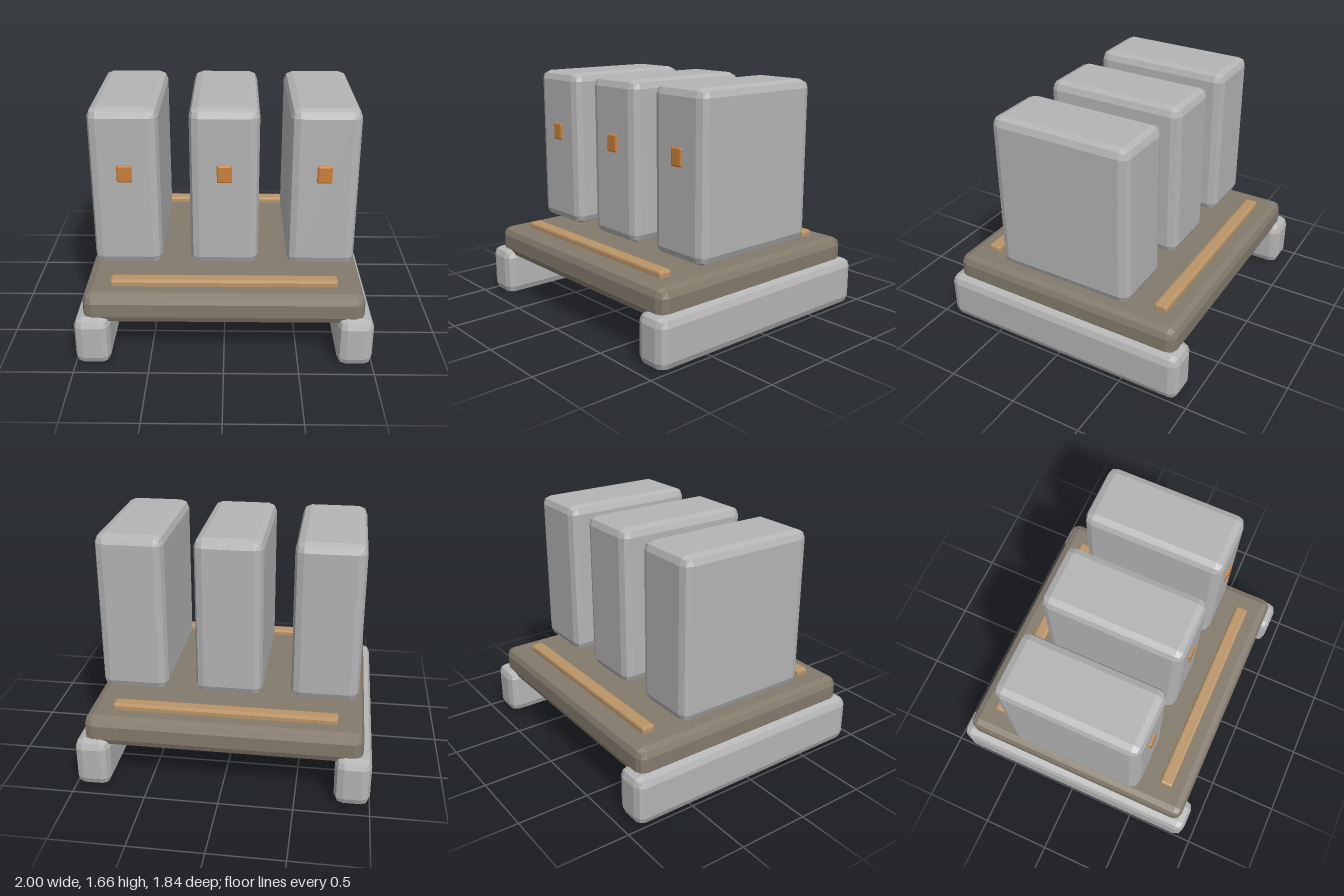
import * as THREE from 'three';
import { RoundedBoxGeometry } from 'three/addons/geometries/RoundedBoxGeometry.js';

function makeMaterial(name, color) {
  const m = new THREE.MeshStandardMaterial({ color, flatShading: true });
  m.name = name;
  return m;
}

export function createModel() {
  const grey = makeMaterial('lightGrey', 0xb4b4b4);
  const brown = makeMaterial('greyBrown', 0x837a6c);
  const tan = makeMaterial('tan', 0xba9467);
  const orange = makeMaterial('orange', 0xcc8039);
  const group = new THREE.Group();

  // Box with two-step bevelled edges
  function block(name, mat, size, pos, radius) {
    const mesh = new THREE.Mesh(new RoundedBoxGeometry(...size, 1, radius), mat);
    mesh.name = name;
    mesh.position.set(...pos);
    group.add(mesh);
  }

  // Deck
  block('deck', brown, [1.88, 0.215, 1.73], [0, 0.3945, 0], 0.06);

  // Side skids and the battens across the deck
  for (const s of [-1, 1]) {
    block(s < 0 ? 'rightSkid' : 'leftSkid', grey, [0.24, 0.345, 1.84], [s * 0.88, 0.1725, 0], 0.06);
    block(s < 0 ? 'backBatten' : 'frontBatten', tan, [1.53, 0.09, 0.094], [0, 0.5, s * 0.676], 0.016);
  }

  // Upright cabinets, each with a small front tag
  ['right', 'middle', 'left'].forEach((side, i) => {
    const x = (i - 1) * 0.662;
    block(side + 'Cabinet', grey, [0.464, 1.12, 1.0], [x, 1.105, 0], 0.06);
    block(side + 'Tag', orange, [0.1, 0.126, 0.04], [x, 1.225, 0.492], 0.012);
  });

  return group;
}
